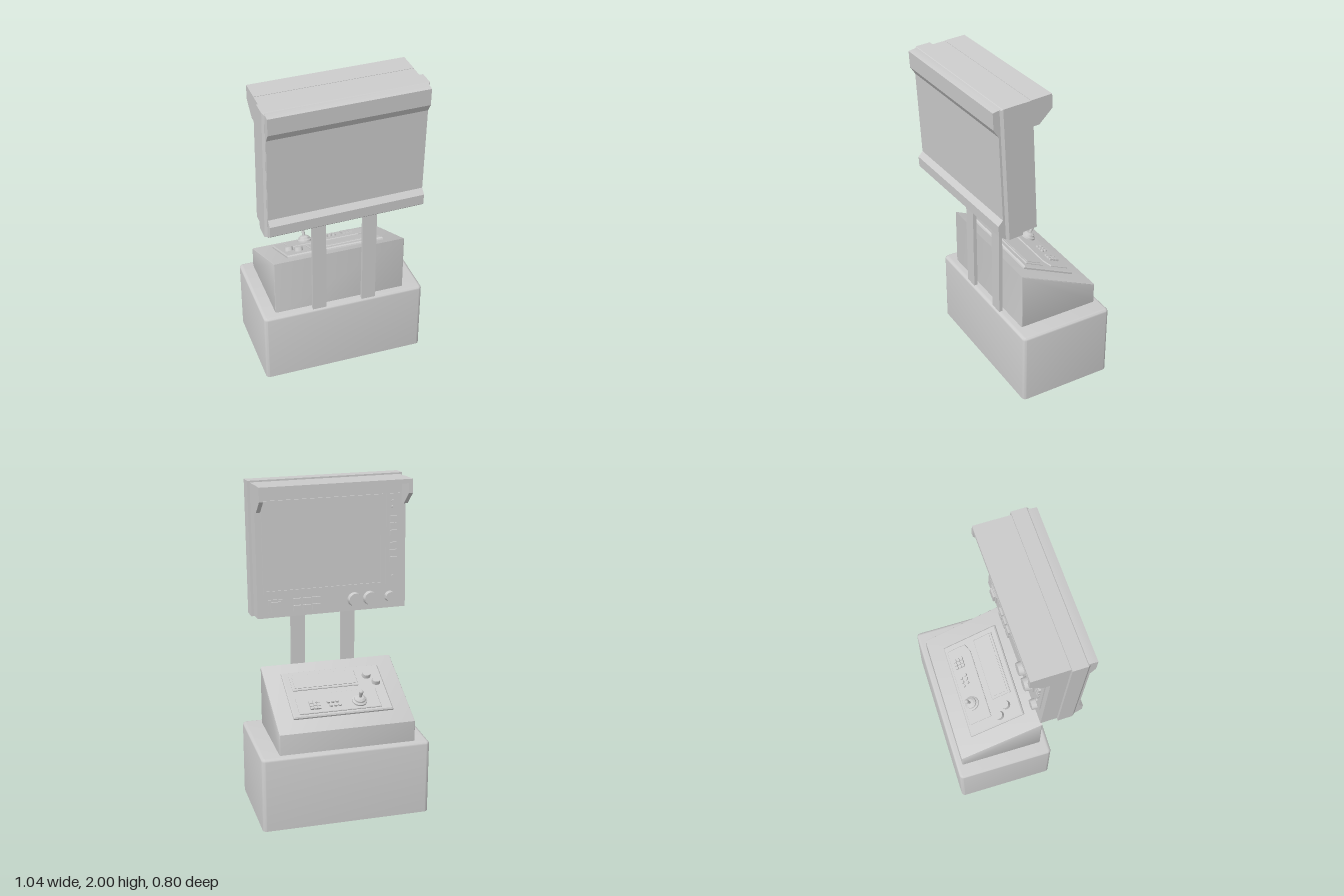
import * as THREE from 'three';
import { toCreasedNormals } from 'three/addons/utils/BufferGeometryUtils.js';

const mat = new THREE.MeshStandardMaterial({ color: 0xcccccc });

function add(parent, name, geo, x = 0, y = 0, z = 0) {
  const m = new THREE.Mesh(geo, mat);
  m.name = name;
  m.position.set(x, y, z);
  parent.add(m);
  return m;
}

// box given by its limits
function span(parent, name, x0, x1, y0, y1, z0, z1) {
  return add(parent, name, new THREE.BoxGeometry(x1 - x0, y1 - y0, z1 - z0),
    (x0 + x1) / 2, (y0 + y1) / 2, (z0 + z1) / 2);
}

// [z, y] outline swept along x
function sweep(parent, name, pts, x0, x1, bevel = 0) {
  const shape = new THREE.Shape(pts.map(([z, y]) => new THREE.Vector2(-z, y)));
  const geo = new THREE.ExtrudeGeometry(shape, {
    depth: x1 - x0 - 2 * bevel, bevelEnabled: bevel > 0, bevelSize: bevel,
    bevelThickness: bevel, bevelOffset: -bevel, bevelSegments: 2,
  });
  geo.translate(0, 0, bevel).rotateY(Math.PI / 2);
  return add(parent, name, toCreasedNormals(geo, 0.5), x0);
}

// [x, z] outline raised along y
function plate(parent, name, pts, y0, y1, bevel) {
  const shape = new THREE.Shape(pts.map(([x, z]) => new THREE.Vector2(x, -z)));
  const geo = new THREE.ExtrudeGeometry(shape, {
    depth: y1 - y0 - bevel, bevelSize: bevel, bevelThickness: bevel,
    bevelOffset: -bevel, bevelSegments: 1,
  });
  geo.rotateX(-Math.PI / 2);
  return add(parent, name, geo, 0, y0);
}

const rect = (x0, x1, z0, z1) => [[x0, z0], [x1, z0], [x1, z1], [x0, z1]];

// low cabinet with rounded uprights and top edge, flat underneath
function buildBase(parent) {
  const X = 0.52, z0 = -0.21, z1 = 0.4, r = 0.025, b = 0.018;
  const s = new THREE.Shape();
  s.absarc(X - r, z1 - r, r, 0, Math.PI / 2);
  s.absarc(-X + r, z1 - r, r, Math.PI / 2, Math.PI);
  s.absarc(-X + r, z0 + r, r, Math.PI, Math.PI * 1.5);
  s.absarc(X - r, z0 + r, r, Math.PI * 1.5, Math.PI * 2);
  const geo = new THREE.ExtrudeGeometry(s, {
    depth: 0.47 - b, bevelSize: b, bevelThickness: b, bevelOffset: -b,
    bevelSegments: 3, curveSegments: 5,
  }).rotateX(-Math.PI / 2);
  const p = geo.attributes.position;
  for (let i = 0; i < p.count; i++) if (p.getY(i) < 0) p.setY(i, 0);
  add(parent, 'baseCabinet', toCreasedNormals(geo, 0.6));
}

// sloping desk and its controls
function buildConsole(parent) {
  sweep(parent, 'consoleDesk', [[0.16, 0.46], [0.16, 0.842], [-0.362, 0.6], [-0.362, 0.46]],
    -0.435, 0.405, 0.008);

  const panel = new THREE.Group();
  panel.name = 'controlPanel';
  panel.position.set(0, 0.72, -0.1);
  panel.rotation.x = -Math.atan2(0.242, 0.522);
  parent.add(panel);

  plate(panel, 'panelPlate', rect(-0.325, 0.295, -0.18, 0.2), -0.005, 0.018, 0.007);
  plate(panel, 'keyPlate',
    [[-0.255, -0.16], [0.255, -0.16], [0.255, -0.03], [0.2, -0.005], [-0.255, -0.005]],
    0.015, 0.025, 0.003);
  plate(panel, 'displayPlate', rect(-0.16, 0.255, 0.035, 0.165), 0.015, 0.025, 0.003);
  span(panel, 'displayWindow', -0.145, 0.24, 0.02, 0.028, 0.05, 0.15);

  // joystick
  const profile = [[0, 0], [0.046, 0], [0.046, 0.012], [0.036, 0.018], [0.034, 0.028],
    [0.022, 0.036], [0, 0.04]].map(([r, y]) => new THREE.Vector2(r, y));
  add(panel, 'joystickBase', toCreasedNormals(new THREE.LatheGeometry(profile, 24), 0.4),
    -0.13, 0.023, -0.1);
  const stick = new THREE.Group();
  stick.name = 'joystick';
  stick.position.set(-0.13, 0.05, -0.1);
  stick.rotation.x = -0.05;
  panel.add(stick);
  add(stick, 'joystickShaft', new THREE.CylinderGeometry(0.013, 0.007, 0.055, 12), 0, 0.027, 0);
  add(stick, 'joystickTip', new THREE.SphereGeometry(0.013, 12, 6, 0, Math.PI * 2, 0, Math.PI / 2),
    0, 0.054, 0);

  // small round buttons, square keypad, large push buttons
  for (let row = 0; row < 2; row++)
    for (let i = 0; i < 3; i++)
      add(panel, 'roundKey', new THREE.CylinderGeometry(0.011, 0.011, 0.014, 12),
        -0.002 + i * 0.027 + row * 0.011, 0.03, -0.117 + row * 0.031);
  for (let i = 0; i < 9; i++)
    add(panel, 'squareKey', new THREE.BoxGeometry(0.02, 0.012, 0.02),
      0.127 + (i % 3) * 0.023, 0.03, -0.125 + Math.floor(i / 3) * 0.023);
  for (const [x, z] of [[-0.275, 0.05], [-0.228, 0.11]])
    add(panel, 'pushButton', toCreasedNormals(new THREE.CylinderGeometry(0.025, 0.028, 0.026, 20), 0.6),
      x, 0.03, z);
}

// display head, facing -z, slightly turned and tilted
function buildMonitor(parent) {
  const head = new THREE.Group();
  head.name = 'monitor';
  head.position.set(-0.038, 1.578, 0.2);
  head.rotation.set(0.045, 0.033, 0);
  parent.add(head);
  const W = 0.472, F = -0.088;

  // outer frame with a chamfered rim
  span(head, 'rearFrame', -0.487, 0.487, -0.41, 0.418, 0.014, 0.105);
  const rim = new THREE.BoxGeometry(0.974, 0.828, 0.016);
  const p = rim.attributes.position;
  for (let i = 0; i < p.count; i++)
    if (p.getZ(i) > 0) p.setXY(i, p.getX(i) * 0.976, p.getY(i) * 0.976);
  rim.computeVertexNormals();
  add(head, 'rearRim', rim, 0, 0.004, 0.113);

  // rear cover with a ridge along top and bottom
  sweep(head, 'rearCover', [[0.05, 0.405], [0.105, 0.416], [0.163, 0.408], [0.163, 0.305],
    [0.134, 0.255], [0.134, -0.275], [0.165, -0.305], [0.165, -0.37], [0.125, -0.405],
    [0.05, -0.405]], -0.474, 0.474);

  // main body and hood
  span(head, 'screenHousing', -W, W, -0.403, 0.408, F, 0.02);
  span(head, 'hoodTop', -W, W, 0.385, 0.41, -0.212, F + 0.01);
  const cheek = [[F + 0.01, 0.385], [-0.212, 0.385], [-0.212, 0.325], [-0.125, 0.25], [F + 0.01, 0.25]];
  for (const s of [-1, 1])
    sweep(head, 'hoodCheek', cheek, s > 0 ? W - 0.025 : -W, s > 0 ? W : -W + 0.025);

  // screen with a thin raised surround
  const [x0, x1, y0, y1, t] = [-0.325, 0.435, -0.25, 0.31, 0.014];
  const z0 = F - 0.01;
  span(head, 'screenSurround', x0, x1, y0, y0 + t, z0, F);
  span(head, 'screenSurround', x0, x1, y1 - t, y1, z0, F);
  span(head, 'screenSurround', x0, x0 + t, y0 + t, y1 - t, z0, F);
  span(head, 'screenSurround', x1 - t, x1, y0 + t, y1 - t, z0, F);
  span(head, 'screen', x0 + t, x1 - t, y0 + t, y1 - t, F - 0.004, F);

  // key column beside the screen
  span(head, 'keyColumn', -0.435, -0.345, -0.25, 0.31, F - 0.008, F);
  for (const y of [0.16, 0.115, 0.07, -0.005, -0.05, -0.095])
    add(head, 'sideKey', new THREE.BoxGeometry(0.044, 0.034, 0.016), -0.388, y, F - 0.014);
  for (const y of [0.265, 0.23, -0.2]) {
    const lamp = add(head, 'sideLamp', new THREE.CylinderGeometry(0.01, 0.01, 0.01, 12), -0.388, y, F - 0.012);
    lamp.rotation.x = -Math.PI / 2;
  }

  // lower row: switch, keypad, knobs
  span(head, 'switchFrame', 0.315, 0.405, -0.375, -0.29, F - 0.008, F);
  span(head, 'switch', 0.328, 0.392, -0.362, -0.303, F - 0.02, F);
  for (let i = 0; i < 6; i++)
    add(head, 'lowerKey', new THREE.BoxGeometry(0.05, 0.036, 0.014),
      0.225 - (i % 3) * 0.06, -0.31 - Math.floor(i / 3) * 0.044, F - 0.006);
  for (const [x, r] of [[-0.14, 0.044], [-0.24, 0.044], [-0.37, 0.034]]) {
    const knob = add(head, 'knob', toCreasedNormals(new THREE.CylinderGeometry(r * 0.9, r, 0.034, 24), 0.6),
      x, -0.33, F - 0.014);
    knob.rotation.x = -Math.PI / 2;
  }
}

export function createModel() {
  const model = new THREE.Group();
  model.name = 'controlStation';
  buildBase(model);
  buildConsole(model);
  // flat posts carrying the display
  span(model, 'post', -0.205, -0.118, 0.45, 1.25, 0.177, 0.2);
  span(model, 'post', 0.115, 0.203, 0.45, 1.25, 0.177, 0.2);
  buildMonitor(model);
  return model;
}
